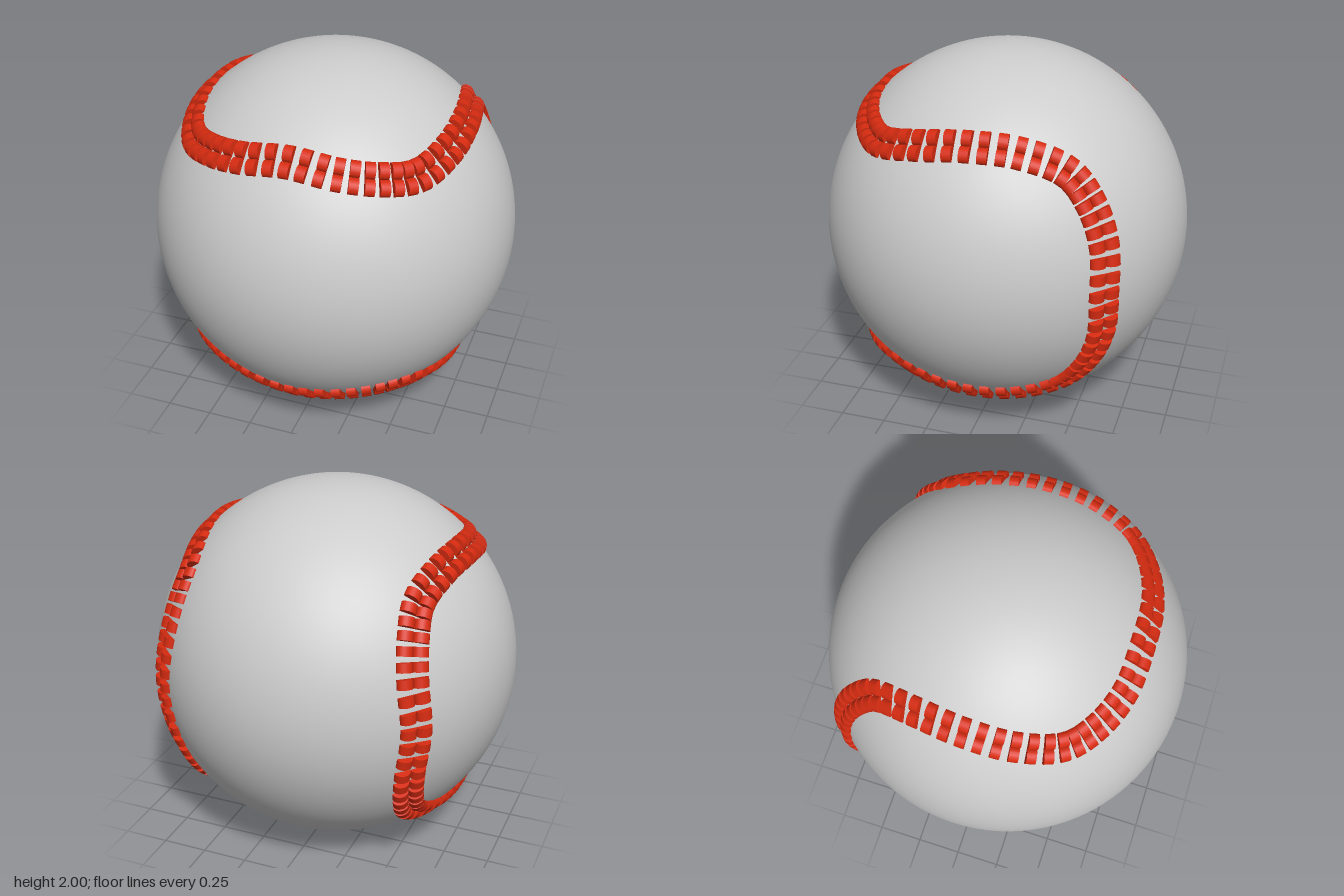
import * as THREE from 'three';

const STITCH_PAIRS = 120;

// Closed seam on the unit sphere, one eighth repeated by symmetry
function seamCurve() {
  const eighth = [
    [0, 0.71, 0.71], [0.255, 0.675, 0.69], [0.46, 0.645, 0.61],
    [0.605, 0.633, 0.483], [0.69, 0.675, 0.26], [0.707, 0.707, 0],
  ];
  const quarter = [
    ...eighth,
    ...eighth.slice(0, 5).reverse().map(([x, y, z]) => [y, x, -z]),
  ];
  const half = [
    ...quarter,
    ...quarter.slice(0, -1).reverse().map(([x, y, z]) => [x, -y, z]),
  ];
  const loop = [
    ...half,
    ...half.slice(1, -1).reverse().map(([x, y, z]) => [-x, y, z]),
  ];
  const points = loop.map((p) => new THREE.Vector3(...p).normalize());
  return new THREE.CatmullRomCurve3(points, true, 'catmullrom', 0.5);
}

export function createModel() {
  const model = new THREE.Group();
  model.name = 'ball';

  // Smooth leather cover
  const cover = new THREE.Mesh(
    new THREE.SphereGeometry(1, 96, 64),
    new THREE.MeshStandardMaterial({ color: 0xcccccc })
  );
  cover.name = 'cover';
  cover.position.y = 1;
  model.add(cover);

  // Each stitch is a pair of short, half-sunk rounded bars beside the seam
  const seam = new THREE.Group();
  seam.name = 'seam';
  seam.position.y = 1;
  model.add(seam);

  const red = new THREE.MeshStandardMaterial({ color: 0xd62b10 });
  const barGeometry = new THREE.CylinderGeometry(0.043, 0.043, 0.05, 20);
  barGeometry.scale(1, 1, 0.8);
  const curve = seamCurve();

  for (let i = 0; i < STITCH_PAIRS; i++) {
    const t = i / STITCH_PAIRS;
    const normal = curve.getPoint(t).normalize();
    const along = curve.getTangent(t).projectOnPlane(normal).normalize();
    const across = new THREE.Vector3().crossVectors(along, normal);

    const stitch = new THREE.Group();
    stitch.name = 'stitch';
    stitch.position.copy(normal);
    stitch.quaternion.setFromRotationMatrix(
      new THREE.Matrix4().makeBasis(across, along, normal)
    );
    for (const side of [-1, 1]) {
      const bar = new THREE.Mesh(barGeometry, red);
      bar.name = side < 0 ? 'stitchBarA' : 'stitchBarB';
      bar.position.x = side * 0.043;
      stitch.add(bar);
    }
    seam.add(stitch);
  }
  return model;
}
